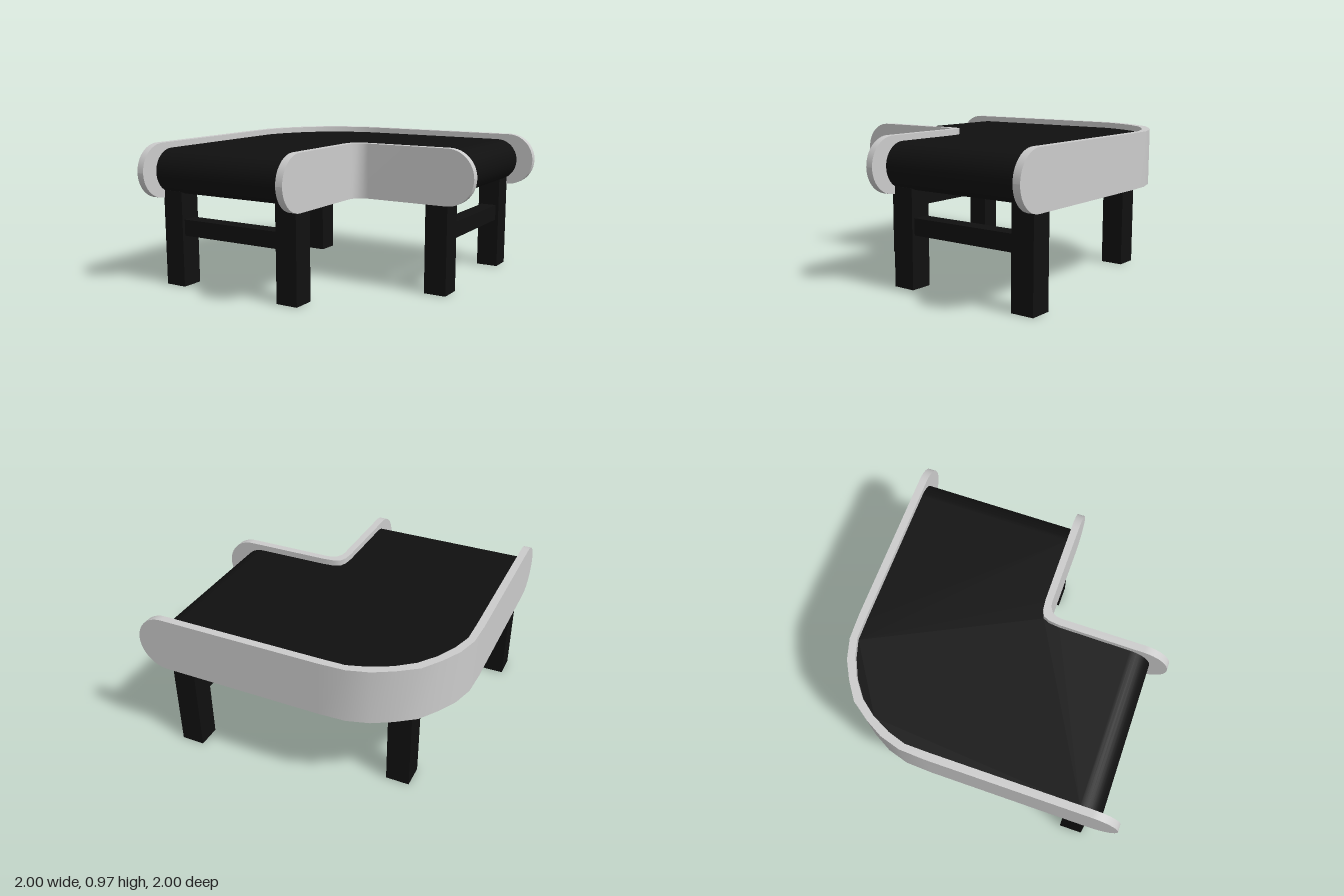
import * as THREE from 'three';

const GREY = new THREE.MeshStandardMaterial({ color: 0xcccccc });
const BLACK = new THREE.MeshStandardMaterial({ color: 0x101010 });

// Half plans from the +x end to the diagonal: [x, z] of the first edge, [x, z] of the second.
// The other half is the same with x and z swapped.
const OUTER = [
  [-0.25, -1, -0.25, -0.95], [-0.42, -0.992, -0.4, -0.947], [-0.558, -0.952, -0.52, -0.91],
  [-0.68, -0.885, -0.65, -0.845], [-0.8, -0.8, -0.76, -0.76],
];
const INNER = [
  [0.25, 0.108, 0.25, 0.155], [0.18, 0.115, 0.215, 0.16], [0.135, 0.135, 0.18, 0.18],
];
const mirrored = (half) => [
  ...half,
  ...half.slice(0, -1).reverse().map(([a, b, c, d]) => [b, a, d, c]),
];

function mesh(name, geometry, material) {
  const m = new THREE.Mesh(geometry, material);
  m.name = name;
  return m;
}

// Curved side rail: rectangular sections swept along the plan, with round ends.
function railGeometry(half, z0, z1) {
  const R = 0.184, yc = 0.786, steps = 12;
  const end = [];
  for (let i = 0; i <= steps; i++) {
    const t = (i / steps) * Math.PI / 2;
    const x = 1 - R + R * Math.cos(t);
    end.push([x, z0, x, z1, R * Math.sin(t)]);
  }
  const stations = mirrored([...end, ...half.map((p) => [...p, R])].map((p) => p))
    .map((p, i, all) => [...p.slice(0, 4), [...end, ...half][Math.min(i, all.length - 1 - i)][4] ?? R]);
  const rings = stations.map(([ox, oz, ix, iz, h]) => [
    [ox, yc + h, oz], [ix, yc + h, iz], [ix, yc - h, iz], [ox, yc - h, oz],
  ]);
  const positions = [], index = [];
  for (let j = 0; j < 4; j++) {
    const base = positions.length / 3;
    rings.forEach((ring, k) => {
      positions.push(...ring[j], ...ring[(j + 1) % 4]);
      if (k === 0) return;
      const a = base + 2 * (k - 1), b = a + 2;
      index.push(a, b, b + 1, a, b + 1, a + 1);
    });
  }
  const g = new THREE.BufferGeometry();
  g.setAttribute('position', new THREE.Float32BufferAttribute(positions, 3));
  g.setIndex(index);
  g.computeVertexNormals();
  return g;
}

// Flat corner section of the belt, filling the space between the rails.
function beltGeometry(rollerAt, top, thickness) {
  const outer = mirrored([[0, 0, rollerAt, -0.95], ...OUTER]).map((p) => [p[2], p[3]]);
  const inner = mirrored([[rollerAt, 0.105, 0, 0], ...INNER]).map((p) => [p[0], p[1]]);
  const outline = [...outer, ...inner.reverse()].map(([x, z]) => new THREE.Vector2(x, z));
  const g = new THREE.ExtrudeGeometry(new THREE.Shape(outline), { depth: thickness, bevelEnabled: false });
  return g.rotateX(Math.PI / 2).translate(0, top, 0);
}

export function createModel() {
  const group = new THREE.Group();
  group.name = 'cornerConveyor';

  // Side rails
  group.add(mesh('outerRail', railGeometry(OUTER, -1, -0.95), GREY));
  group.add(mesh('innerRail', railGeometry(INNER, 0.105, 0.155), GREY));

  // Belt and its rounded ends
  const rollerAt = 0.73, r = 0.15, length = 1.055, mid = -0.4225;
  group.add(mesh('belt', beltGeometry(rollerAt, 0.93, 2 * r), BLACK));
  const frontRoller = mesh('frontBeltEnd', new THREE.CylinderGeometry(r, r, length, 40), BLACK);
  frontRoller.rotation.z = Math.PI / 2;
  frontRoller.position.set(mid, 0.78, rollerAt);
  const sideRoller = mesh('sideBeltEnd', new THREE.CylinderGeometry(r, r, length, 40), BLACK);
  sideRoller.rotation.x = Math.PI / 2;
  sideRoller.position.set(rollerAt, 0.78, mid);
  group.add(frontRoller, sideRoller);

  // Legs: a pair under each end and one at the corner
  const legH = 0.65, near = 0.73, out = -0.88, inn = 0.038;
  const legs = [[out, near], [inn, near], [near, out], [near, inn], [-0.667, -0.667]];
  for (const [x, z] of legs) {
    const leg = mesh('leg', new THREE.BoxGeometry(0.154, legH, 0.154), BLACK);
    leg.position.set(x, legH / 2, z);
    group.add(leg);
  }

  // Crossbars joining each pair of legs
  const bar = new THREE.BoxGeometry(inn - out, 0.11, 0.11);
  const frontBar = mesh('frontCrossbar', bar, BLACK);
  frontBar.position.set((inn + out) / 2, 0.405, near);
  const sideBar = mesh('sideCrossbar', bar, BLACK);
  sideBar.rotation.y = Math.PI / 2;
  sideBar.position.set(near, 0.405, (inn + out) / 2);
  group.add(frontBar, sideBar);

  return group;
}
